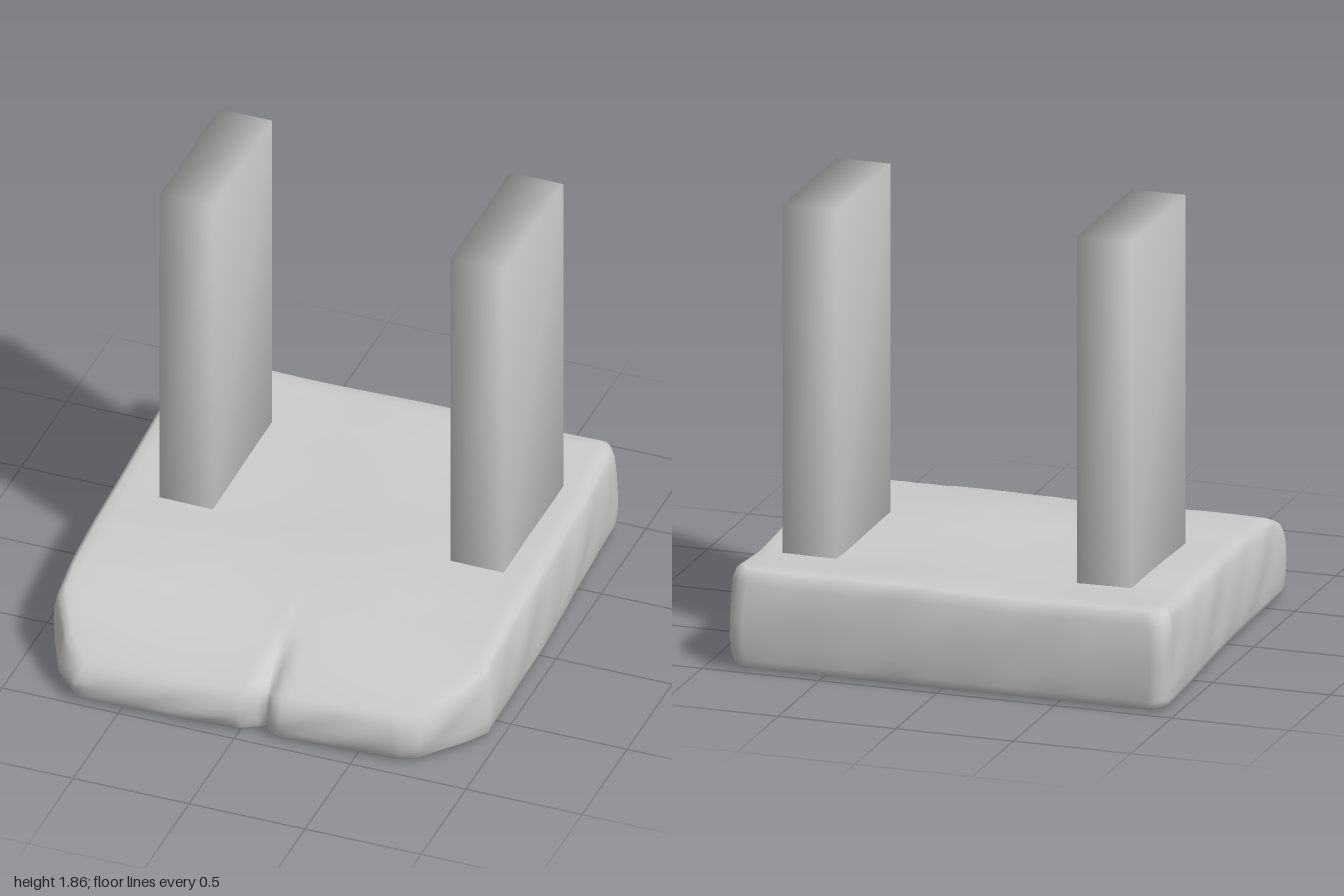
import * as THREE from 'three';
import { mergeVertices } from 'three/addons/utils/BufferGeometryUtils.js';

const material = new THREE.MeshStandardMaterial({ color: 0xcccccc });

// Plan outline of the slab (x, z), with a small notch in the front edge
const OUTLINE = [
  [-0.98, -0.93], [-0.95, -0.99], [0.88, -0.997], [0.915, -0.95], [0.96, -0.06], [0.975, 0.65],
  [0.91, 0.75], [0.77, 0.91], [0.7, 0.94], [0.4, 0.955], [0.16, 0.97], [0.13, 0.95], [0.1, 0.905],
  [0.05, 0.94], [0, 0.97], [-0.3, 0.985], [-0.7, 0.995], [-0.8, 0.9], [-0.905, 0.71], [-0.94, -0.25],
];

// Height of the top surface along z: level behind, rolling down to the front
const PROFILE = [[-1, 0.425], [-0.9, 0.435], [-0.6, 0.41], [0.25, 0.405], [0.55, 0.375], [0.8, 0.275], [0.92, 0.2], [1, 0.13]];

function topHeight(x, z) {
  let i = 1;
  while (i < PROFILE.length - 1 && z > PROFILE[i][0]) i++;
  const [z0, y0] = PROFILE[i - 1], [z1, y1] = PROFILE[i];
  let y = y0 + (y1 - y0) * THREE.MathUtils.clamp((z - z0) / (z1 - z0), 0, 1);
  // short crack running back from the notch
  y -= 0.04 * Math.exp(-(((x - 0.1) / 0.035) ** 2)) * THREE.MathUtils.smoothstep(z, 0.62, 0.85);
  // uneven, hand-hewn surface
  return y + 0.006 * Math.sin(5 * x + 3 * z) * Math.cos(4 * z - 2 * x);
}

// Rings from the underside, up the rounded wall and across the top: [scale, wall fraction]
const RINGS = [
  [0, 0], [0.4, 0], [0.8, 0], [0.95, 0], [0.968, 0.02], [0.982, 0.1], [0.994, 0.28], [1, 0.5], [0.995, 0.72],
  [0.982, 0.88], [0.967, 0.97], [0.945, 1], [0.9, 1], [0.85, 1], [0.8, 1], [0.74, 1], [0.68, 1], [0.6, 1],
  [0.5, 1], [0.35, 1], [0.18, 1], [0, 1],
];

function slabGeometry() {
  const shape = new THREE.Shape(OUTLINE.map(([x, z]) => new THREE.Vector2(x, z)));
  shape.closePath();
  const n = 200;
  const plan = shape.getSpacedPoints(n).slice(0, n);
  const positions = [], index = [];
  RINGS.forEach(([s, t], j) => {
    plan.forEach((p, i) => {
      // gentle dents in the wall only
      const dent = 1 - 0.008 * Math.sin(Math.PI * t) * (1 + Math.sin(i * 0.5 + 5 * t) * Math.cos(i * 0.19));
      const x = p.x * s * dent, z = p.y * s * dent;
      const low = 0.018 + 0.005 * Math.sin(6 * x) * Math.cos(5 * z);
      positions.push(x, low + (topHeight(x, z) - low) * t, z);
      if (j === 0) return;
      const a = (j - 1) * n + i, b = (j - 1) * n + (i + 1) % n;
      if (j > 1) index.push(a, a + n, b);
      if (j < RINGS.length - 1) index.push(b, a + n, b + n);
      else if (j === 1) index.push(b, a + n, b + n);
    });
  });
  const geometry = new THREE.BufferGeometry();
  geometry.setAttribute('position', new THREE.Float32BufferAttribute(positions, 3));
  geometry.setIndex(index);
  const welded = mergeVertices(geometry, 1e-5);
  welded.computeVertexNormals();
  return welded;
}

// Plain post whose eight corners share their normals, giving soft shading
function postGeometry() {
  const box = new THREE.BoxGeometry(0.23, 1.495, 0.66);
  box.deleteAttribute('normal');
  box.deleteAttribute('uv');
  const welded = mergeVertices(box);
  welded.computeVertexNormals();
  return welded;
}

export function createModel() {
  const group = new THREE.Group();
  group.name = 'slabWithPosts';

  const slab = new THREE.Mesh(slabGeometry(), material);
  slab.name = 'stoneSlab';
  group.add(slab);

  // Two upright posts
  const post = postGeometry();
  for (const [name, x] of [['rightPost', -0.58], ['leftPost', 0.675]]) {
    const mesh = new THREE.Mesh(post, material);
    mesh.name = name;
    mesh.position.set(x, 1.1275, -0.29);
    group.add(mesh);
  }
  return group;
}
